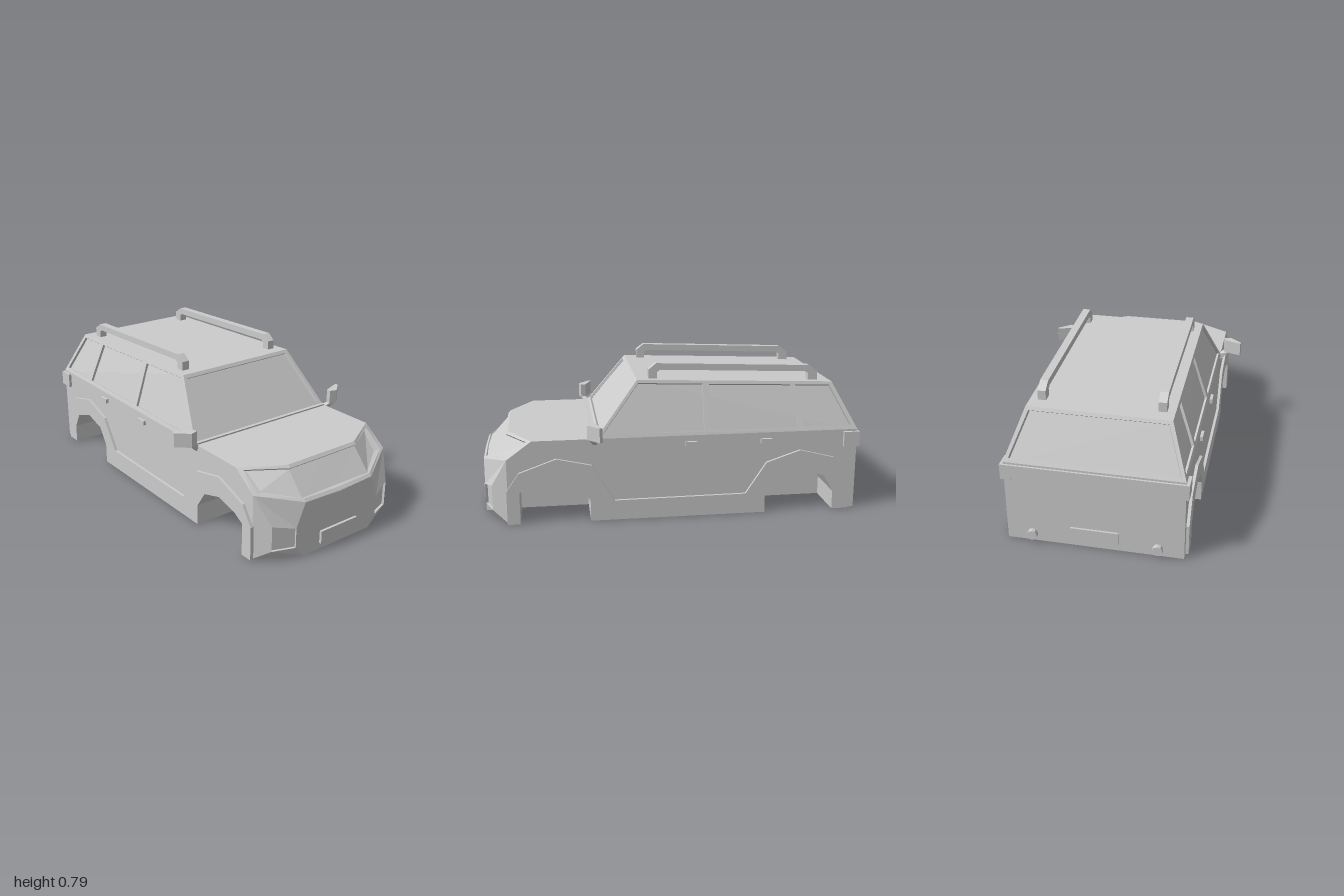
import * as THREE from 'three';
import { ConvexGeometry } from 'three/addons/geometries/ConvexGeometry.js';

const material = new THREE.MeshStandardMaterial({ color: 0xcccccc, flatShading: true });

function add(parent, name, geometry) {
  const mesh = new THREE.Mesh(geometry, material);
  mesh.name = name;
  parent.add(mesh);
  return mesh;
}

const toShape = (points, holes = []) => {
  const shape = new THREE.Shape(points.map(p => new THREE.Vector2(...p)));
  for (const h of holes) shape.holes.push(new THREE.Path(h.map(p => new THREE.Vector2(...p))));
  return shape;
};

const extrude = (points, depth, holes) =>
  new THREE.ExtrudeGeometry(toShape(points, holes), { depth, bevelEnabled: false });

// Extrudes a (z, y) outline sideways from x0 to x1
const sideExtrude = (points, x0, x1, holes) =>
  extrude(points, x1 - x0, holes).rotateY(-Math.PI / 2).translate(x1, 0, 0);

const hull = points => new ConvexGeometry(points.map(p => new THREE.Vector3(...p)));
const bothSides = points => points.flatMap(([x, y, z]) => [[x, y, z], [-x, y, z]]);

const box = (x0, x1, y0, y1, z0, z1) =>
  new THREE.BoxGeometry(x1 - x0, y1 - y0, z1 - z0)
    .translate((x0 + x1) / 2, (y0 + y1) / 2, (z0 + z1) / 2);

function deform(geometry, rule) {
  const p = geometry.attributes.position;
  for (let i = 0; i < p.count; i++) p.setXYZ(i, ...rule(p.getX(i), p.getY(i), p.getZ(i)));
  geometry.computeVertexNormals();
  return geometry;
}

// Surface through rows of points; columns run left to right, rows top to bottom
function surface(rows) {
  const out = [];
  for (let r = 0; r + 1 < rows.length; r++) {
    for (let c = 0; c + 1 < rows[r].length; c++) {
      const a = rows[r][c], b = rows[r][c + 1], d = rows[r + 1][c], e = rows[r + 1][c + 1];
      out.push(...a, ...d, ...b, ...b, ...d, ...e);
    }
  }
  const g = new THREE.BufferGeometry();
  g.setAttribute('position', new THREE.Float32BufferAttribute(out, 3));
  g.computeVertexNormals();
  return g;
}

const W = 0.437, BELT = 0.435, ROOF_W = 0.35;
const FRONT_ARCH = [[0.8, 0], [0.8, 0.17], [0.74, 0.205], [0.62, 0.235], [0.5, 0.2], [0.44, 0.11], [0.44, 0]];
const REAR_ARCH = [[-0.48, 0], [-0.48, 0.11], [-0.54, 0.2], [-0.665, 0.235], [-0.8, 0.19], [-0.85, 0.1], [-0.85, 0]];

function buildNose(car) {
  // Bonnet plate, with the cowl below the windscreen
  add(car, 'bonnet', extrude([[-W, -0.38], [W, -0.38], [W, -0.73], [0.22, -0.855], [-0.22, -0.855], [-W, -0.73]], 0.012)
    .rotateX(-Math.PI / 2).translate(0, BELT - 0.012, 0));
  add(car, 'cowl', box(-W, W, 0.425, 0.443, 0.38, 0.418));

  // Bumper block
  add(car, 'frontBumper', hull([
    ...bothSides([[W, 0, 0.84], [W, 0.34, 0.84], [W, 0, 0.86], [W, 0.34, 0.86], [0.22, 0, 0.985], [0.22, 0.29, 0.985]]),
    [0, 0.283, 0.99]]));

  // Sloping front panel with a sunken centre
  const top = [[0, BELT, 0.855], [0.22, BELT, 0.855], [W, BELT, 0.73]];
  const low = [[0, 0.283, 0.99], [0.22, 0.29, 0.985], [W, 0.34, 0.86]];
  const along = (line, x) => {
    const i = x <= 0.22 ? 0 : 1, t = (x - line[i][0]) / (line[i + 1][0] - line[i][0]);
    return line[i].map((v, k) => v + (line[i + 1][k] - v) * t);
  };
  const columns = [[-W, 0], [-0.412, 0], [-0.412, 1], [-0.22, 1], [0, 1], [0.22, 1], [0.412, 1], [0.412, 0], [W, 0]];
  const rows = [[0, 0], [0.1, 0], [0.1, 1], [0.9, 1], [0.9, 0], [1, 0]];
  add(car, 'frontPanel', surface(rows.map(([v, sunkV]) => columns.map(([x, sunkU]) => {
    const a = along(top, Math.abs(x)), b = along(low, Math.abs(x)), d = sunkV * sunkU * 0.009;
    return [x, a[1] + (b[1] - a[1]) * v - d, a[2] + (b[2] - a[2]) * v - d];
  }))));
  add(car, 'frontPlate', box(-0.12, 0.12, 0.035, 0.103, 0.97, 1));
}

function buildCabin(car) {
  const zf = 0.405, zr = -0.975, tf = [0.185, 0.716], tr = [-0.85, 0.677], e = 0.014;
  const roofY = z => tf[1] + (z - tf[0]) * (tr[1] - tf[1]) / (tr[0] - tf[0]);

  // Glass core showing through the frames
  add(car, 'glass', hull(bothSides([
    [W - e, BELT - 0.01, zf - e], [W - e, BELT - 0.01, zr + e],
    [ROOF_W - e, tf[1] - 0.004, tf[0] - e], [ROOF_W - e, tr[1] - 0.004, tr[0] + e]])));
  add(car, 'roof', hull(bothSides([
    [ROOF_W, tf[1], tf[0]], [ROOF_W, tr[1], tr[0]],
    [ROOF_W, tf[1] - 0.01, tf[0]], [ROOF_W, tr[1] - 0.01, tr[0]]])));

  // Side frames with three windows each; the inner edge drops square to the slope
  const windows = [
    [[0.37, 0.457], [0.18, 0.7], [-0.155, 0.687], [-0.155, 0.457]],
    [[-0.19, 0.457], [-0.19, 0.685], [-0.625, 0.669], [-0.655, 0.457]],
    [[-0.685, 0.457], [-0.65, 0.668], [-0.835, 0.661], [-0.94, 0.457]]];
  const outline = [[zf, BELT], tf, tr, [zr, BELT]];
  for (const s of [1, -1]) {
    const frame = sideExtrude(outline, -0.012, 0, windows);
    deform(frame, (x, y, z) => [
      x + W - (W - ROOF_W) * (y - BELT) / (roofY(z) - BELT),
      x < -0.006 ? y - 0.008 : y, z]);
    add(car, 'sideWindowFrame', frame).scale.x = s;
  }

  // Windscreen and rear window frames, recessed square to their slope
  const endFrame = (z0, z1, top) => {
    const g = extrude([[-W, BELT], [W, BELT], [ROOF_W, top], [-ROOF_W, top]], 0.011,
      [[[-0.412, 0.455], [0.412, 0.455], [0.335, top - 0.016], [-0.335, top - 0.016]]]);
    return deform(g, (x, y, z) => {
      const inner = z < 0.005;
      return [inner ? x * 0.988 : x, inner ? y - 0.008 : y,
        z - 0.011 + z0 + (z1 - z0) * (y - BELT) / (top - BELT)];
    });
  };
  add(car, 'windscreenFrame', endFrame(zf, tf[0], tf[1]));
  add(car, 'rearWindowFrame', endFrame(-zr, -tr[0], tr[1]).rotateY(Math.PI));
}

// Everything that appears on both flanks, modelled on +x
function buildFlank() {
  const flank = new THREE.Group();
  add(flank, 'bodySide', sideExtrude(
    [[0.86, 0], ...FRONT_ARCH, ...REAR_ARCH, [-0.975, 0], [-0.975, BELT], [0.73, BELT], [0.86, 0.34]], 0.21, W));

  // Wheel arch and sill cladding
  add(flank, 'cladding', sideExtrude([
    [0.865, 0], ...FRONT_ARCH, ...REAR_ARCH, [-0.935, 0], [-0.935, 0.16], [-0.85, 0.288], [-0.665, 0.335],
    [-0.485, 0.275], [-0.375, 0.108], [0.315, 0.105], [0.43, 0.3], [0.61, 0.34], [0.8, 0.272], [0.865, 0.177]],
    W - 0.01, 0.452));

  // Fog lamp pod: flared surround, then a shallow sunken lens
  const rim = [[W, 0.34, 0.86], [W, 0, 0.86], [0.22, 0, 0.985], [0.22, 0.29, 0.985]];
  const lip = [[0.385, 0.192, 0.94], [0.385, 0.06, 0.94], [0.27, 0.06, 0.982], [0.27, 0.165, 0.982]];
  const lens = lip.map(([x, y, z]) => [x - 0.004, y, z - 0.012]);
  const centre = lens.map(() => [0.324, 0.119, 0.949]);
  add(flank, 'fogLamp', surface([rim, lip, lens, centre].map(l => [...l, l[0]])));

  // Door handles
  for (const z of [-0.085, -0.483])
    add(flank, 'doorHandle', box(W - 0.01, 0.452, 0.38, 0.404, z - 0.031, z + 0.031));

  // Tail lamp wrapping the corner
  add(flank, 'tailLamp', box(0.4, 0.453, 0.345, 0.425, -0.985, -0.9));

  // Wing mirror: angled housing on a short arm
  const plan = [[0.452, 0.44], [0.49, 0.452], [0.557, 0.393], [0.552, 0.378], [0.495, 0.405], [0.455, 0.413]];
  add(flank, 'mirror', hull(plan.flatMap(([x, z]) => [[x, 0.447, z], [x, 0.522, z]])));
  add(flank, 'mirrorArm', hull([
    [0.43, 0.405, 0.4], [0.443, 0.405, 0.4], [0.43, 0.405, 0.42], [0.443, 0.405, 0.42], [0.43, 0.435, 0.4],
    [0.43, 0.435, 0.425], [0.455, 0.45, 0.415], [0.455, 0.45, 0.44], [0.487, 0.45, 0.41], [0.487, 0.45, 0.448]]));

  // Roof rail
  add(flank, 'roofRail', sideExtrude([
    [0.12, 0.7], [0.12, 0.76], [0.08, 0.792], [-0.735, 0.76], [-0.782, 0.728], [-0.782, 0.67],
    [-0.732, 0.67], [-0.732, 0.718], [-0.715, 0.727], [0.06, 0.757], [0.075, 0.745], [0.075, 0.7]], 0.27, 0.31));

  // Round reflector on the rear bumper
  add(flank, 'rearReflector', new THREE.CylinderGeometry(0.026, 0.026, 0.035, 10)
    .rotateX(-Math.PI / 2).translate(0.31, 0.042, -0.9825));
  return flank;
}

export function createModel() {
  const car = new THREE.Group();
  car.name = 'car';

  add(car, 'bodyCentre', box(-0.21, 0.21, 0, BELT, -0.975, 0.835));
  buildNose(car);
  buildCabin(car);
  for (const [name, s] of [['leftFlank', 1], ['rightFlank', -1]]) {
    const flank = buildFlank();
    flank.name = name;
    flank.scale.x = s;
    car.add(flank);
  }

  // Rear band with an arched lower edge, and rear plate
  add(car, 'rearBand', extrude([
    [-0.453, 0.345], [-0.36, 0.36], [-0.18, 0.38], [0.18, 0.38], [0.36, 0.36], [0.453, 0.345],
    [0.453, 0.425], [-0.453, 0.425]], 0.02).translate(0, 0, -0.985));
  add(car, 'rearPlate', box(-0.12, 0.12, 0.04, 0.105, -0.985, -0.96));
  return car;
}
